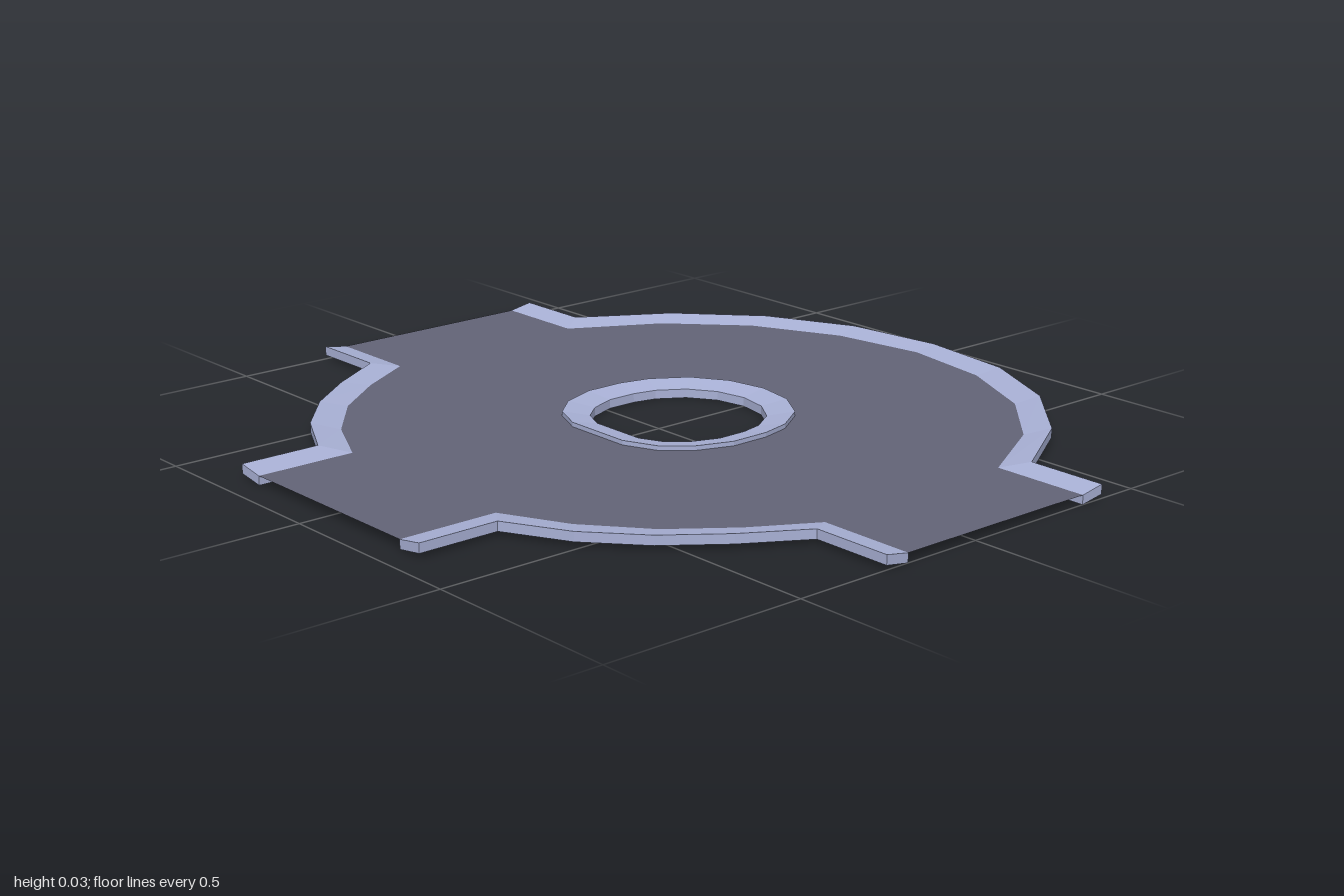
import * as THREE from 'three';

const mirror = (pts) => pts.map(([x, z]) => [-x, z]).reverse();

// Kerb heights: raised edge and lowered edge
const HIGH_TOP = 0.033, LOW_TOP = 0.022, HIGH_BASE = 0.01, LOW_BASE = 0;

// Sweeps a four-cornered kerb section between a raised and a lowered edge
function kerbGeometry(high, low, closed) {
  const sections = high.map(([hx, hz], i) => {
    const [lx, lz] = low[i];
    return [[hx, HIGH_TOP, hz], [lx, LOW_TOP, lz], [lx, LOW_BASE, lz], [hx, HIGH_BASE, hz]];
  });
  const pos = [];
  const quad = (a, b, c, d) => pos.push(...a, ...b, ...c, ...a, ...c, ...d);
  const n = sections.length;
  for (let i = 0; i < (closed ? n : n - 1); i++) {
    const s = sections[i], t = sections[(i + 1) % n];
    for (let j = 0; j < 4; j++) {
      const k = (j + 1) % 4;
      quad(s[j], s[k], t[k], t[j]);
    }
  }
  if (!closed) {
    const [a, b, c, d] = sections[0];
    quad(d, c, b, a);
    quad(...sections[n - 1]);
  }
  const geo = new THREE.BufferGeometry();
  geo.setAttribute('position', new THREE.Float32BufferAttribute(pos, 3));
  geo.computeVertexNormals();
  return geo;
}

export function createModel() {
  const group = new THREE.Group();
  const asphalt = new THREE.MeshStandardMaterial({ color: 0x636477, side: THREE.DoubleSide });
  asphalt.name = 'asphalt';
  const kerbStone = new THREE.MeshStandardMaterial({ color: 0xa9b1d6, flatShading: true });
  kerbStone.name = 'kerbStone';

  const add = (name, geo, mat) => {
    const mesh = new THREE.Mesh(geo, mat);
    mesh.name = name;
    group.add(mesh);
  };

  // Front corner kerb, from the side road round to the front road
  const frontOuter = [[1, 0.262], [0.8, 0.262], [0.71, 0.41], [0.61, 0.54], [0.485, 0.65], [0.333, 0.73], [0.333, 0.93]];
  const frontInner = [[1, 0.2], [0.76, 0.2], [0.673, 0.35], [0.566, 0.49], [0.425, 0.605], [0.265, 0.683], [0.265, 0.93]];

  // Back kerb, from the middle out to the side road, then mirrored
  const backOuterHalf = [[0.255, -0.9], [0.48, -0.793], [0.668, -0.62], [0.8, -0.4], [1, -0.4]];
  const backInnerHalf = [[0.24, -0.832], [0.462, -0.725], [0.635, -0.56], [0.757, -0.338], [1, -0.338]];
  const backOuter = [...mirror(backOuterHalf), [0, -0.932], ...backOuterHalf];
  const backInner = [...mirror(backInnerHalf), [0, -0.87], ...backInnerHalf];

  // Island ring, right half then mirrored
  const ringOuterHalf = [[0.1, -0.317], [0.187, -0.262], [0.242, -0.177], [0.26, -0.1], [0.26, 0], [0.228, 0.088], [0.172, 0.152], [0.09, 0.187]];
  const ringInnerHalf = [[0.078, -0.255], [0.143, -0.212], [0.184, -0.148], [0.197, -0.09], [0.197, -0.015], [0.172, 0.052], [0.132, 0.1], [0.075, 0.126]];
  const ringOuter = [[0, -0.335], ...ringOuterHalf, ...mirror(ringOuterHalf)];
  const ringInner = [[0, -0.27], ...ringInnerHalf, ...mirror(ringInnerHalf)];

  add('frontLeftKerb', kerbGeometry(frontOuter, frontInner, false), kerbStone);
  add('frontRightKerb', kerbGeometry(mirror(frontOuter), mirror(frontInner), false), kerbStone);
  add('backKerb', kerbGeometry(backOuter, backInner, false), kerbStone);
  add('islandKerb', kerbGeometry(ringOuter, ringInner, true), kerbStone);

  // Road sheet, bounded by the kerbs, open around the island
  const toPlane = (pts) => pts.map(([x, z]) => new THREE.Vector2(x, -z));
  const road = new THREE.Shape(toPlane([...backInner, ...frontInner, ...mirror(frontInner)]));
  road.holes.push(new THREE.Path(toPlane(ringOuter)));
  const roadGeo = new THREE.ShapeGeometry(road);
  roadGeo.rotateX(-Math.PI / 2).translate(0, LOW_TOP, 0);
  add('roadSurface', roadGeo, asphalt);

  return group;
}
